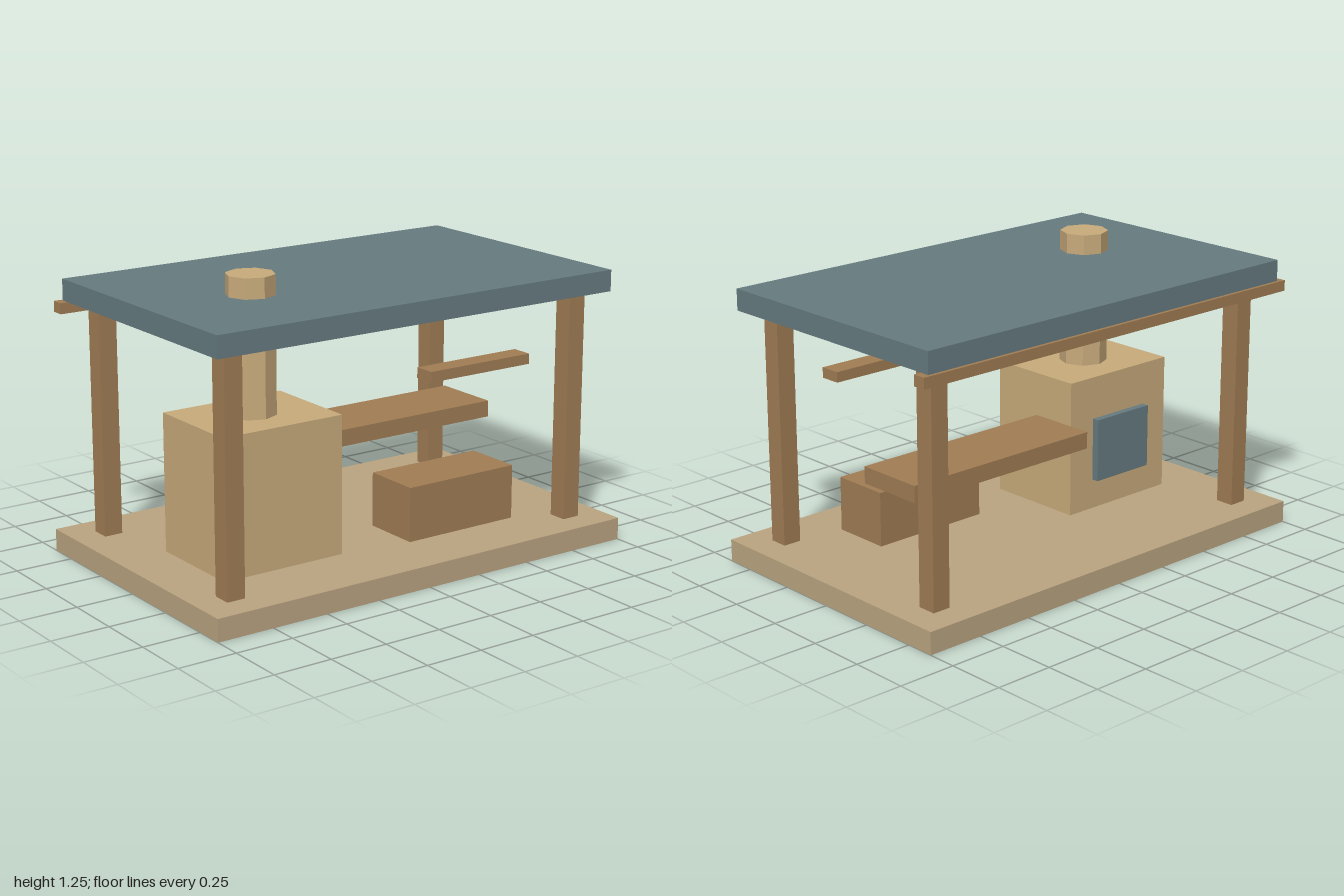
import * as THREE from 'three';

export function createModel() {
  const group = new THREE.Group();
  const mat = (color) => new THREE.MeshStandardMaterial({ color, flatShading: true });
  const wood = mat(0xa07c54);
  const stone = mat(0xc8aa7b);
  const floor = mat(0xbaa480);
  const slate = mat(0x667b80);

  // Box given by its extents along each axis
  function box(name, [x0, x1], [y0, y1], [z0, z1], material) {
    const mesh = new THREE.Mesh(new THREE.BoxGeometry(x1 - x0, y1 - y0, z1 - z0), material);
    mesh.position.set((x0 + x1) / 2, (y0 + y1) / 2, (z0 + z1) / 2);
    mesh.name = name;
    group.add(mesh);
  }

  // Shelter: floor slab, four posts, roof and the rail under its back edge
  box('floorSlab', [-1, 1], [0, 0.094], [-0.626, 0.626], floor);
  for (const x of [-0.84, 0.84]) {
    for (const z of [-0.464, 0.464]) {
      box('post', [x - 0.04, x + 0.04], [0.094, 1.071], [z - 0.041, z + 0.041], wood);
    }
  }
  box('roof', [-0.955, 0.955], [1.071, 1.161], [-0.579, 0.579], slate);
  box('backRail', [-0.988, 0.988], [1.026, 1.071], [-0.594, -0.538], wood);

  // Furnace with a door at the back and an eight-sided chimney
  box('furnace', [-0.77, -0.21], [0.094, 0.677], [-0.124, 0.314], stone);
  box('furnaceDoor', [-0.64, -0.34], [0.223, 0.495], [-0.155, -0.12], slate);
  const chimney = new THREE.Mesh(new THREE.CylinderGeometry(0.101, 0.101, 0.568, 8), stone);
  chimney.position.set(-0.492, 0.961, 0.094);
  chimney.name = 'chimney';
  group.add(chimney);

  // Furnishings
  box('workbenchTop', [-0.166, 0.764], [0.441, 0.512], [-0.265, 0.037], wood);
  box('shelf', [0.16, 0.67], [0.77, 0.814], [0.317, 0.409], wood);
  box('storageChest', [0.079, 0.614], [0.105, 0.336], [0.128, 0.384], wood);

  return group;
}
